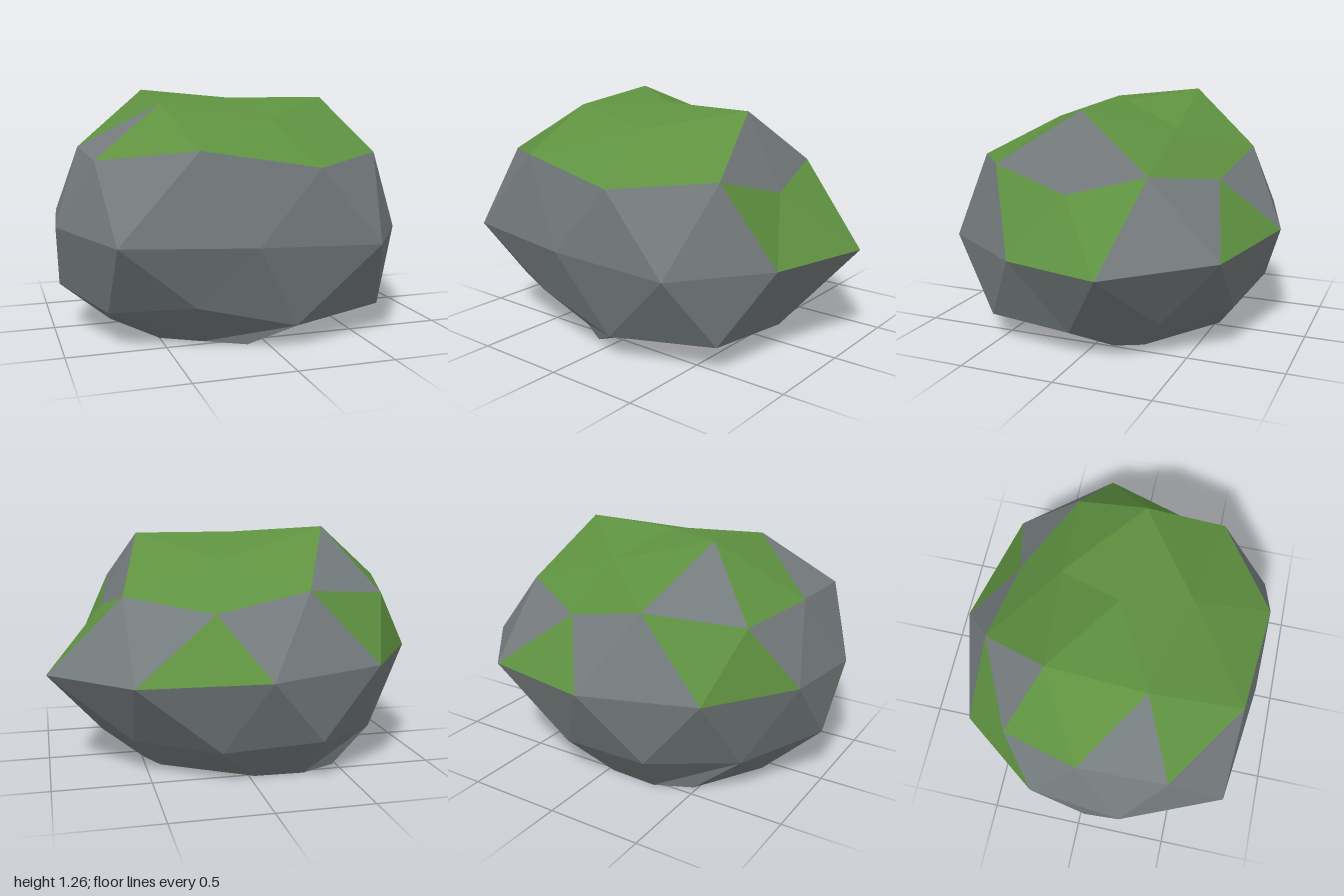
import * as THREE from 'three';

// Rings of corners from top to bottom, going round from +x towards +z
const top = [-0.04, 1.22, 0.04];
const crown = [[0.49, 1.22, 0.07], [0.07, 1.13, 0.40], [-0.47, 1.20, 0.27], [-0.46, 1.26, -0.24], [0.10, 1.10, -0.30]];
const shoulder = [
  [0.69, 0.83, 0.07], [0.62, 0.945, 0.49], [0.19, 0.91, 0.81], [-0.39, 1.0, 0.75], [-0.83, 0.94, 0.45],
  [-0.85, 0.97, -0.01], [-0.74, 0.92, -0.41], [-0.28, 0.97, -0.62], [0.18, 0.86, -0.56], [0.61, 0.93, -0.33],
];
const waist = [
  [1.0, 0.52, -0.22], [0.84, 0.51, 0.32], [0.52, 0.52, 0.80], [-0.13, 0.55, 0.84], [-0.78, 0.57, 0.76],
  [-1.0, 0.59, 0.24], [-0.95, 0.60, -0.25], [-0.64, 0.59, -0.67], [-0.04, 0.57, -0.84], [0.60, 0.54, -0.69],
];
const skirt = [
  [0.70, 0.125, 0.06], [0.64, 0.14, 0.53], [0.11, 0.12, 0.715], [-0.39, 0.24, 0.68], [-0.78, 0.19, 0.46],
  [-0.97, 0.25, 0.04], [-0.71, 0.18, -0.37], [-0.34, 0.22, -0.70], [0.17, 0.18, -0.65], [0.58, 0.19, -0.38],
];
const foot = [
  [0.49, 0, -0.10], [0.2, 0.01, 0.2], [-0.10, 0, 0.575], [-0.30, 0, 0.46], [-0.50, 0, 0.34],
  [-0.69, 0, -0.07], [-0.48, 0, -0.44], [-0.29, 0, -0.53], [-0.03, 0, -0.52], [0.42, 0, -0.24],
];
const base = [-0.1, 0, 0];

// Facets of each band that are bare stone or moss, by number round the rock
const bareCrown = ['0a', '0b', '2b', '3b'];
const mossyWaist = ['0a', '0b', '4c', '3a', '3b', '4a'];

// Flat-shaded mesh from triangles, each turned to face outwards
function facetMesh(name, triangles, material) {
  const positions = [];
  const middle = new THREE.Vector3(0, 0.5, 0);
  for (const tri of triangles) {
    const [a, b, c] = tri.map((p) => new THREE.Vector3(...p));
    const normal = b.clone().sub(a).cross(c.clone().sub(a));
    const outward = a.clone().add(b).add(c).divideScalar(3).sub(middle);
    const ordered = normal.dot(outward) < 0 ? [a, c, b] : [a, b, c];
    for (const v of ordered) positions.push(v.x, v.y, v.z);
  }
  const geometry = new THREE.BufferGeometry();
  geometry.setAttribute('position', new THREE.Float32BufferAttribute(positions, 3));
  geometry.computeVertexNormals();
  const mesh = new THREE.Mesh(geometry, material);
  mesh.name = name;
  return mesh;
}

export function createModel() {
  const stone = new THREE.MeshStandardMaterial({ color: 0x757c7e });
  stone.name = 'stone grey';
  const moss = new THREE.MeshStandardMaterial({ color: 0x5e9140 });
  moss.name = 'moss green';

  const mossFaces = [], stoneFaces = [], undersideFaces = [];
  const at = (ring, i) => ring[(i + ring.length) % ring.length];
  const add = (isMoss, ...tri) => (isMoss ? mossFaces : stoneFaces).push(tri);

  for (let k = 0; k < 5; k++) {
    const r = crown[k], rNext = at(crown, k + 1);
    const before = at(shoulder, 2 * k - 1), corner = shoulder[2 * k];
    const mid = shoulder[2 * k + 1], after = at(shoulder, 2 * k + 2);
    const w0 = waist[2 * k], w1 = waist[2 * k + 1], w2 = at(waist, 2 * k + 2);

    // Crown
    add(true, top, r, rNext);
    add(true, r, mid, rNext);
    add(!bareCrown.includes(k + 'a'), r, before, corner);
    add(!bareCrown.includes(k + 'b'), r, corner, mid);

    // Shoulder to waist
    add(mossyWaist.includes(k + 'a'), corner, w0, w1);
    add(mossyWaist.includes(k + 'b'), corner, w1, mid);
    add(false, mid, w1, w2);
    add(mossyWaist.includes(k + 'c'), mid, w2, after);

    // Waist to skirt
    const n = skirt[2 * k], l = skirt[2 * k + 1], nNext = at(skirt, 2 * k + 2);
    add(false, w0, w1, n);
    add(false, w1, n, l);
    add(false, w1, w2, l);
    add(false, w2, l, nNext);

    // Skirt to foot
    const fn = foot[2 * k], fl = foot[2 * k + 1], fNext = at(foot, 2 * k + 2);
    add(false, n, l, fl);
    add(false, n, fl, fn);
    add(false, l, nNext, fl);
    add(false, nNext, fl, fNext);

    // Flat underside
    undersideFaces.push([base, fn, fl], [base, fl, fNext]);
  }

  const rock = new THREE.Group();
  rock.name = 'mossyRock';
  rock.add(
    facetMesh('mossPatches', mossFaces, moss),
    facetMesh('stoneFacets', stoneFaces, stone),
    facetMesh('underside', undersideFaces, stone),
  );
  return rock;
}
